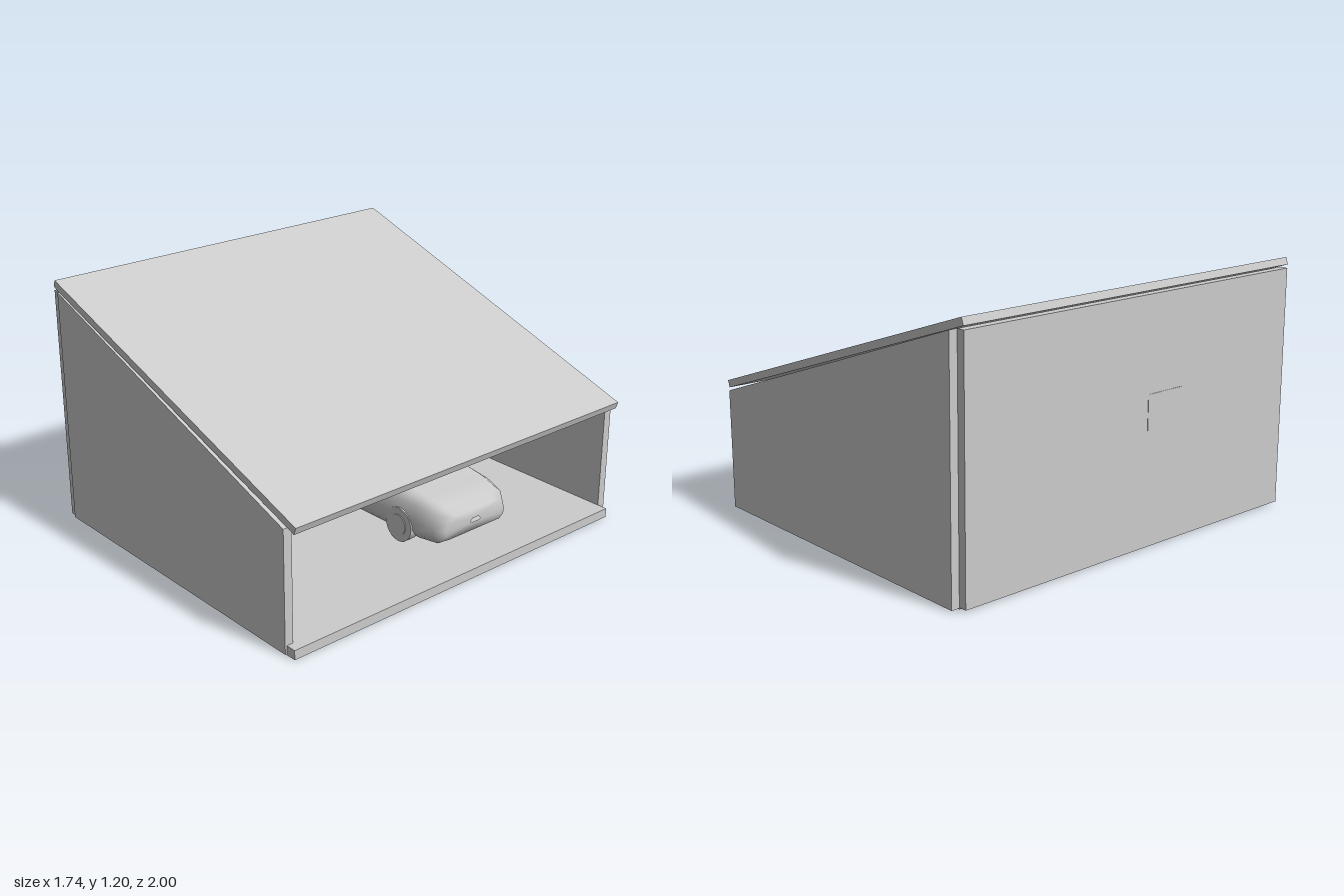
import * as THREE from 'three';
import { RoundedBoxGeometry } from 'three/addons/geometries/RoundedBoxGeometry.js';

const grey = new THREE.MeshStandardMaterial({ color: 0xcccccc });

function add(parent, name, geometry, x = 0, y = 0, z = 0) {
  const mesh = new THREE.Mesh(geometry, grey);
  mesh.name = name;
  mesh.position.set(x, y, z);
  parent.add(mesh);
  return mesh;
}

// Box given by its minimum and maximum corners
function block(parent, name, a, b) {
  const size = a.map((v, i) => b[i] - v);
  const mid = a.map((v, i) => (v + b[i]) / 2);
  return add(parent, name, new THREE.BoxGeometry(...size), ...mid);
}

function group(parent, name, x, y, z) {
  const g = new THREE.Group();
  g.name = name;
  g.position.set(x, y, z);
  parent.add(g);
  return g;
}

function buildShelter(root) {
  block(root, 'floor', [-0.81, 0, -0.96], [0.87, 0.045, 0.99]);
  block(root, 'backWall', [-0.85, 0.008, -0.96], [-0.81, 1.15, 0.99]);
  block(root, 'window', [-0.852, 0.53, 0.07], [-0.849, 0.71, 0.28]);
  block(root, 'sideDoor', [-0.05, 0.045, 0.95], [0.35, 0.69, 0.957]);

  // Side walls with a sloping top
  const profile = new THREE.Shape([
    [-0.81, 0.005], [0.82, 0.005], [0.82, 0.58], [-0.81, 1.15],
  ].map(([x, y]) => new THREE.Vector2(x, y)));
  const wall = new THREE.ExtrudeGeometry(profile, { depth: 0.042, bevelEnabled: false });
  add(root, 'leftSideWall', wall, 0, 0, 0.957);
  add(root, 'rightSideWall', wall, 0, 0, -1);

  // Single pitched roof slab
  const roof = add(root, 'roof', new THREE.BoxGeometry(1.828, 0.035, 1.955), 0.02, 0.888, 0.015);
  roof.rotation.z = -0.329;
}

// Car body lofted from rear to front
function carBody() {
  // x, underside, beltline, top, half width, half width of top
  const stations = [
    [-0.53, 0.17, 0.18, 0.19, 0.03, 0.02],
    [-0.53, 0.12, 0.23, 0.25, 0.2, 0.17],
    [-0.50, 0.09, 0.26, 0.29, 0.235, 0.19],
    [-0.40, 0.085, 0.27, 0.385, 0.25, 0.18],
    [-0.28, 0.085, 0.275, 0.425, 0.256, 0.18],
    [-0.05, 0.085, 0.275, 0.435, 0.257, 0.18],
    [0.12, 0.085, 0.272, 0.425, 0.257, 0.178],
    [0.25, 0.085, 0.268, 0.36, 0.256, 0.195],
    [0.36, 0.085, 0.263, 0.30, 0.254, 0.205],
    [0.55, 0.085, 0.25, 0.28, 0.245, 0.195],
    [0.65, 0.09, 0.23, 0.26, 0.225, 0.18],
    [0.70, 0.12, 0.20, 0.225, 0.19, 0.15],
    [0.70, 0.16, 0.17, 0.18, 0.03, 0.02],
  ];
  const pos = [], index = [];
  let n = 0;
  for (const [x, yb, belt, top, w, wt] of stations) {
    const h = belt - yb;
    const half = [
      [0, yb], [0.85 * w, yb], [0.98 * w, yb + 0.25 * h], [w, yb + 0.55 * h],
      [0.95 * w, belt], [wt, top - 0.1 * (top - belt)], [0.85 * wt, top], [0, top],
    ];
    const ring = [...half, ...half.slice(1, -1).reverse().map(([z, y]) => [-z, y])];
    n = ring.length;
    ring.forEach(([z, y]) => pos.push(x, y, z));
  }
  for (let i = 0; i < stations.length - 1; i++) {
    for (let j = 0; j < n; j++) {
      const a = i * n + j, b = i * n + (j + 1) % n;
      index.push(a, a + n, b + n, a, b + n, b);
    }
  }
  const g = new THREE.BufferGeometry();
  g.setAttribute('position', new THREE.Float32BufferAttribute(pos, 3));
  g.setIndex(index);
  g.computeVertexNormals();
  return g;
}

function buildCar(root) {
  const car = group(root, 'car', 0, 0, -0.222);
  add(car, 'carBody', carBody());
  const tyre = new THREE.CylinderGeometry(0.085, 0.085, 0.05, 24).rotateX(Math.PI / 2);
  const hub = new THREE.CylinderGeometry(0.05, 0.055, 0.058, 16).rotateX(Math.PI / 2);
  for (const x of [-0.31, 0.45]) {
    for (const side of [-1, 1]) {
      add(car, 'tyre', tyre, x, 0.13, side * 0.226);
      add(car, 'hub', hub, x, 0.13, side * 0.226);
    }
  }
}

function buildTable(root) {
  const table = group(root, 'table', -0.1, 0, 0.67);
  add(table, 'tableTop', new THREE.CylinderGeometry(0.205, 0.203, 0.011, 40), 0, 0.339, 0);

  // Turned pedestal
  const profile = [
    [0, 0.09], [0.022, 0.095], [0.03, 0.12], [0.03, 0.145], [0.018, 0.155], [0.017, 0.17],
    [0.027, 0.19], [0.027, 0.205], [0.018, 0.22], [0.025, 0.24], [0.025, 0.25],
    [0.018, 0.262], [0.028, 0.28], [0.03, 0.315], [0.06, 0.32], [0.06, 0.334],
  ].map(([r, y]) => new THREE.Vector2(r, y));
  add(table, 'pedestal', new THREE.LatheGeometry(profile, 24));

  // Curved legs with small feet
  const curve = new THREE.CatmullRomCurve3([
    [0.015, 0.125], [0.06, 0.112], [0.1, 0.075], [0.15, 0.056],
  ].map(([x, y]) => new THREE.Vector3(x, y, 0)));
  const leg = new THREE.TubeGeometry(curve, 14, 0.012, 10);
  const foot = new THREE.SphereGeometry(0.014, 12, 8);
  for (let i = 0; i < 4; i++) {
    const arm = group(table, 'tableLeg', 0, 0, 0);
    arm.rotation.y = 0.15 + i * Math.PI / 2;
    add(arm, 'leg', leg);
    add(arm, 'foot', foot, 0.148, 0.057, 0);
  }

  // Small television turned slightly on the table
  const tv = group(table, 'television', 0.05, 0.345, -0.045);
  tv.rotation.y = 0.4;
  add(tv, 'cabinet', new RoundedBoxGeometry(0.07, 0.12, 0.16, 3, 0.006), -0.035, 0.06, 0);
  const back = new RoundedBoxGeometry(0.1, 0.11, 0.15, 4, 0.02);
  const p = back.attributes.position;
  for (let i = 0; i < p.count; i++) {
    const s = 0.88 + 0.12 * (p.getX(i) / 0.05);
    p.setY(i, p.getY(i) * s);
    p.setZ(i, p.getZ(i) * s);
  }
  back.computeVertexNormals();
  add(tv, 'tubeHousing', back, -0.1, 0.055, 0);
  add(tv, 'screen', new RoundedBoxGeometry(0.008, 0.09, 0.11, 2, 0.003), 0, 0.06, 0.018);
  const knob = new THREE.CylinderGeometry(0.006, 0.006, 0.01, 12).rotateZ(Math.PI / 2);
  for (const y of [0.05, 0.075, 0.1]) add(tv, 'knob', knob, 0.002, y, -0.058);
}

export function createModel() {
  const root = new THREE.Group();
  root.name = 'garage';
  buildShelter(root);
  buildCar(root);
  buildTable(root);
  return root;
}
